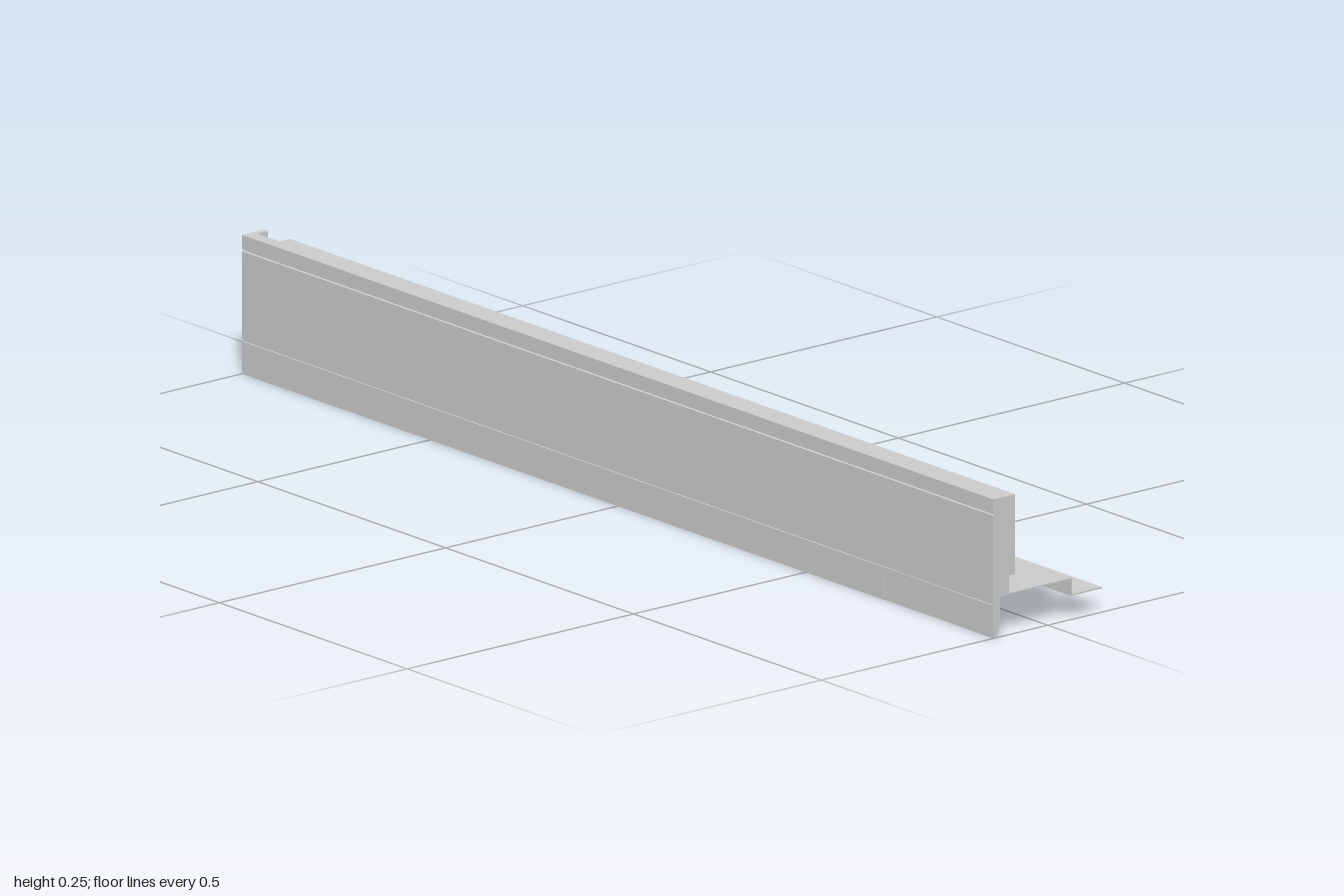
import * as THREE from 'three';

const material = new THREE.MeshStandardMaterial({ color: 0xcccccc, flatShading: true, side: THREE.DoubleSide });

// Extrude an x-y cross-section from z0 to z1
function extrudeProfile(name, points, z0, z1) {
  const shape = new THREE.Shape(points.map(([x, y]) => new THREE.Vector2(x, y)));
  const geometry = new THREE.ExtrudeGeometry(shape, { depth: z1 - z0, bevelEnabled: false });
  geometry.translate(0, 0, z0);
  const mesh = new THREE.Mesh(geometry, material);
  mesh.name = name;
  return mesh;
}

function box(name, x0, x1, y0, y1, z0, z1) {
  const mesh = new THREE.Mesh(new THREE.BoxGeometry(x1 - x0, y1 - y0, z1 - z0), material);
  mesh.position.set((x0 + x1) / 2, (y0 + y1) / 2, (z0 + z1) / 2);
  mesh.name = name;
  return mesh;
}

export function createModel() {
  const group = new THREE.Group();
  group.name = 'drawerSide';
  const out = -0.12, top = 0.247, split = 0.058, rear = -0.93;

  // Outer face, bottom to top, with two shallow grooves
  const outerFace = [
    [out, top], [out, 0.222], [out + 0.003, 0.221], [out + 0.003, 0.219], [out, 0.218],
    [out, 0.062], [out + 0.003, 0.061], [out + 0.003, split],
  ];

  // Main wall, stepped at its inner foot
  group.add(extrudeProfile('sideWall', [
    ...outerFace, [-0.105, split], [-0.105, 0.074], [-0.086, 0.074],
    [-0.086, 0.105], [-0.072, 0.105], [-0.072, top],
  ], rear, 1));

  // Narrow rear post with a return lip
  group.add(extrudeProfile('rearPost', [
    ...outerFace, [-0.1, split], [-0.1, 0.074], [-0.095, 0.074], [-0.095, top],
  ], -1, rear));
  group.add(box('rearLip', -0.096, -0.072, 0.074, top, -1, -0.988));

  // Tapered skirt below the wall; one length is a slightly recessed cover
  const skirt = [[-0.97, 0.71, 0], [0.71, 0.89, 0.001], [0.89, 1, 0]];
  skirt.forEach(([z0, z1, inset], i) => {
    group.add(extrudeProfile(i === 1 ? 'skirtCover' : 'skirt', [
      [out + inset, 0], [-0.112, 0], [-0.105, 0.028], [-0.105, split], [out + inset, split],
    ], z0, z1));
  });
  group.add(box('rearFoot', out, -0.1, 0, split, -1, -0.97));

  // Sheet shelf and its downward step
  const t = 0.0025, plateBack = -0.94;
  group.add(extrudeProfile('shelf', [
    [-0.106, 0.074], [0.0535, 0.074], [0.0535, 0.042 + t], [0.051, 0.042 + t],
    [0.051, 0.074 - t], [-0.106, 0.074 - t],
  ], plateBack, 1));

  // Mounting flange with screw holes, drawn in x and -z, then laid flat
  const flange = new THREE.Shape([
    [0.051, -1], [0.12, -1], [0.12, -plateBack], [0.051, -plateBack],
  ].map(([x, y]) => new THREE.Vector2(x, y)));
  for (const z of [-0.465, 0.05, 0.437, 0.91]) {
    flange.holes.push(new THREE.Path().absarc(0.095, -z, 0.0135, 0, Math.PI * 2, true));
  }
  const flangeGeometry = new THREE.ExtrudeGeometry(flange, { depth: t, bevelEnabled: false, curveSegments: 24 });
  flangeGeometry.rotateX(-Math.PI / 2);
  const flangeMesh = new THREE.Mesh(flangeGeometry, material);
  flangeMesh.position.y = 0.042;
  flangeMesh.name = 'mountingFlange';
  group.add(flangeMesh);

  return group;
}
